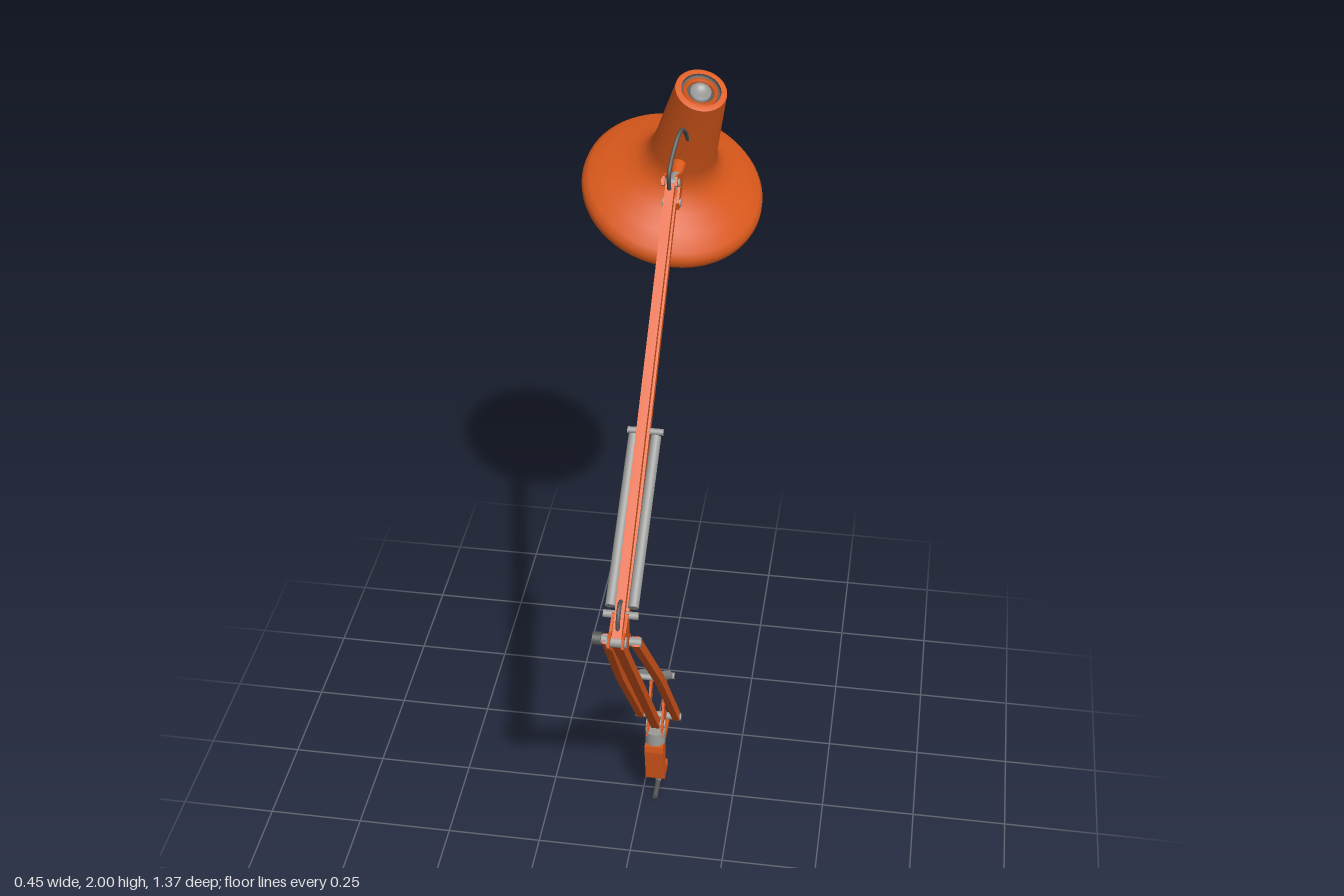
import * as THREE from 'three';

const V = (x, y, z) => new THREE.Vector3(x, y, z);
const CX = 0.038; // plane of the arm

export function createModel() {
  const root = new THREE.Group();
  root.name = 'deskLamp';
  const mat = (name, color, side = THREE.FrontSide) => {
    const m = new THREE.MeshStandardMaterial({ color, side });
    m.name = name;
    return m;
  };
  const orange = mat('orangePaint', 0xdd5a1c);
  const metal = mat('greyMetal', 0x9c9c9a);
  const dark = mat('darkMetal', 0x555555);
  const pale = mat('paleLining', 0xb4b4b2);

  const add = (name, geo, material, parent = root) => {
    const m = new THREE.Mesh(geo, material);
    m.name = name;
    parent.add(m);
    return m;
  };
  // Place a part built along y so that it spans a to b
  const span = (mesh, a, b) => {
    mesh.position.copy(a).add(b).multiplyScalar(0.5);
    mesh.quaternion.setFromUnitVectors(V(0, 1, 0), b.clone().sub(a).normalize());
    return mesh;
  };
  const beam = (name, a, b, w, d, material = orange) =>
    span(add(name, new THREE.BoxGeometry(w, a.distanceTo(b), d), material), a, b);
  const rod = (name, a, b, r, material = metal, r2 = r) =>
    span(add(name, new THREE.CylinderGeometry(r2, r, a.distanceTo(b), 20), material), a, b);
  const crossRod = (name, y, z, half, r, material = metal) =>
    rod(name, V(CX - half, y, z), V(CX + half, y, z), r, material);
  // Side plate: outline given as [z, y], extruded along x
  const plate = (name, pts, width, x = CX, material = orange) => {
    const shape = new THREE.Shape(pts.map(p => new THREE.Vector2(p[0], p[1])));
    const geo = new THREE.ExtrudeGeometry(shape, { depth: width, bevelEnabled: false });
    geo.translate(0, 0, -width / 2).rotateY(-Math.PI / 2);
    const m = add(name, geo, material);
    m.position.x = x;
    return m;
  };
  const wire = (name, pts, r, material = dark) =>
    add(name, new THREE.TubeGeometry(new THREE.CatmullRomCurve3(pts), 32, r, 8), material);

  // Table clamp
  plate('clampBody', [[0.075, 0.222], [-0.065, 0.215], [-0.065, 0.202], [0.022, 0.2],
    [0.014, 0.095], [-0.025, 0.09], [-0.032, 0.062], [0.03, 0.064], [0.05, 0.085], [0.075, 0.2]], 0.05);
  rod('clampScrew', V(CX, 0.01, -0.02), V(CX, 0.15, -0.02), 0.008);
  rod('clampPad', V(CX, 0.146, -0.02), V(CX, 0.156, -0.02), 0.02);
  rod('clampHandle', V(CX, 0.007, 0.045), V(CX, 0.014, -0.045), 0.007, dark);
  rod('swivelCollar', V(CX, 0.218, 0.045), V(CX, 0.262, 0.045), 0.027);

  // Base bracket carrying the lower arm and spring anchor
  for (const s of [-1, 1]) {
    plate('baseBracket', [[0.065, 0.25], [0.05, 0.295], [-0.008, 0.41], [-0.028, 0.405],
      [-0.028, 0.388], [0.005, 0.3], [-0.03, 0.262], [-0.025, 0.242]], 0.006, CX + s * 0.019);
  }
  crossRod('basePivot', 0.27, 0.03, 0.026, 0.012);
  crossRod('basePivotRear', 0.255, -0.02, 0.062, 0.01);
  crossRod('lowerSpringAnchor', 0.4, -0.02, 0.042, 0.009);

  // Lower arm: one central bar and two outer bars that close in near the elbow
  beam('lowerCentreBar', V(CX, 0.265, 0.03), V(CX, 1.08, 0.655), 0.022, 0.024);
  const foot = [0.25, -0.025], bend = [0.69, 0.325], top = [1.035, 0.6];
  for (const s of [-1, 1]) {
    beam('lowerOuterBar', V(CX + s * 0.049, ...foot), V(CX + s * 0.049, ...bend), 0.018, 0.024);
    beam('lowerOuterBar', V(CX + s * 0.049, ...bend), V(CX + s * 0.034, ...top), 0.018, 0.024);
  }

  // Elbow
  for (const s of [-1, 1]) {
    plate('elbowPlate', [[0.685, 1.08], [0.675, 1.1], [0.65, 1.1], [0.61, 1.12], [0.59, 1.112],
      [0.6, 1.06], [0.575, 1.035], [0.585, 1.015], [0.605, 1.018], [0.67, 1.06]], 0.006, CX + s * 0.016);
  }
  crossRod('elbowPivot', 1.08, 0.66, 0.023, 0.013);
  crossRod('elbowLowerPivot', 1.03, 0.595, 0.046, 0.011);
  rod('elbowKnob', V(CX - 0.066, 1.03, 0.595), V(CX - 0.046, 1.03, 0.595), 0.016, dark);
  crossRod('upperSpringAnchor', 1.11, 0.6, 0.04, 0.009);
  wire('elbowCable', [V(CX, 1.08, 0.65), V(CX, 1.125, 0.64), V(CX, 1.15, 0.615),
    V(CX, 1.14, 0.59), V(CX, 1.1, 0.58)], 0.005);

  // Upper arm: two parallel bars
  beam('upperBar', V(CX, 1.08, 0.66), V(CX, 1.79, -0.175), 0.022, 0.024);
  beam('upperBar', V(CX, 1.03, 0.59), V(CX, 1.735, -0.205), 0.022, 0.024);

  // Paired springs with their cross rods
  for (const s of [-1, 1]) {
    const x = CX + s * 0.026;
    rod('upperSpring', V(x, 1.12, 0.585), V(x, 1.35, 0.235), 0.0125);
    rod('lowerSpring', V(x, 0.41, -0.01), V(x, 0.615, 0.235), 0.0125);
  }
  crossRod('upperSpringRod', 1.357, 0.225, 0.042, 0.008);
  crossRod('lowerSpringRod', 0.625, 0.25, 0.046, 0.008);

  // Head bracket joining the arm to the shade
  for (const s of [-1, 1]) {
    plate('headBracket', [[-0.15, 1.8], [-0.165, 1.815], [-0.19, 1.81], [-0.265, 1.775],
      [-0.265, 1.75], [-0.21, 1.712], [-0.19, 1.715], [-0.185, 1.735], [-0.215, 1.765]], 0.006, CX + s * 0.015);
  }
  crossRod('headPivotTop', 1.795, -0.175, 0.022, 0.01);
  crossRod('headPivotLower', 1.73, -0.2, 0.022, 0.01);
  rod('headJoint', V(CX, 1.762, -0.225), V(CX, 1.762, -0.27), 0.014);
  rod('shadeArm', V(CX, 1.762, -0.26), V(CX, 1.772, -0.345), 0.012, orange, 0.02);
  wire('headCable', [V(CX, 1.79, -0.15), V(CX, 1.83, -0.142), V(CX + 0.005, 1.87, -0.18),
    V(CX + 0.015, 1.903, -0.225), V(CX + 0.02, 1.885, -0.265), V(CX + 0.026, 1.83, -0.31)], 0.005);

  // Shade, built around its own axis with the rim at the origin
  const shade = new THREE.Group();
  shade.name = 'shade';
  shade.position.set(0, 1.61, -0.475);
  shade.quaternion.setFromUnitVectors(V(0, 1, 0), V(0.223, 0.891, 0.396).normalize());
  root.add(shade);
  const lathe = (name, pts, material) =>
    add(name, new THREE.LatheGeometry(pts.map(p => new THREE.Vector2(p[0], p[1])), 64), material, shade);
  const profile = [[0.229, 0], [0.231, 0.01], [0.229, 0.025], [0.217, 0.042], [0.18, 0.07],
    [0.14, 0.099], [0.11, 0.125], [0.092, 0.15], [0.08, 0.187], [0.0625, 0.402]];
  lathe('shadeOuter', profile, orange);
  lathe('shadeRim', [[0.222, 0], [0.229, 0]], orange);
  lathe('shadeLining', profile.map(([r, h]) => [r - 0.007, Math.min(h, 0.385)]).reverse(), pale);
  lathe('shadeCapRim', [[0.0625, 0.402], [0.06, 0.404], [0.048, 0.404]], orange);
  lathe('shadeCapWell', [[0.048, 0.404], [0.048, 0.388], [0, 0.388]], dark);
  lathe('capRing', [[0.042, 0.388], [0.042, 0.398], [0.033, 0.398], [0.033, 0.388]], orange);
  lathe('capSwitch', [[0.025, 0.388], [0.025, 0.4], [0.013, 0.4], [0.013, 0.394], [0, 0.394]], metal);

  // Bulb and its holder
  add('bulb', new THREE.SphereGeometry(0.065, 32, 20), pale, shade).position.y = 0.1;
  add('bulbHolder', new THREE.CylinderGeometry(0.03, 0.035, 0.2, 24), metal, shade).position.y = 0.25;

  return root;
}
